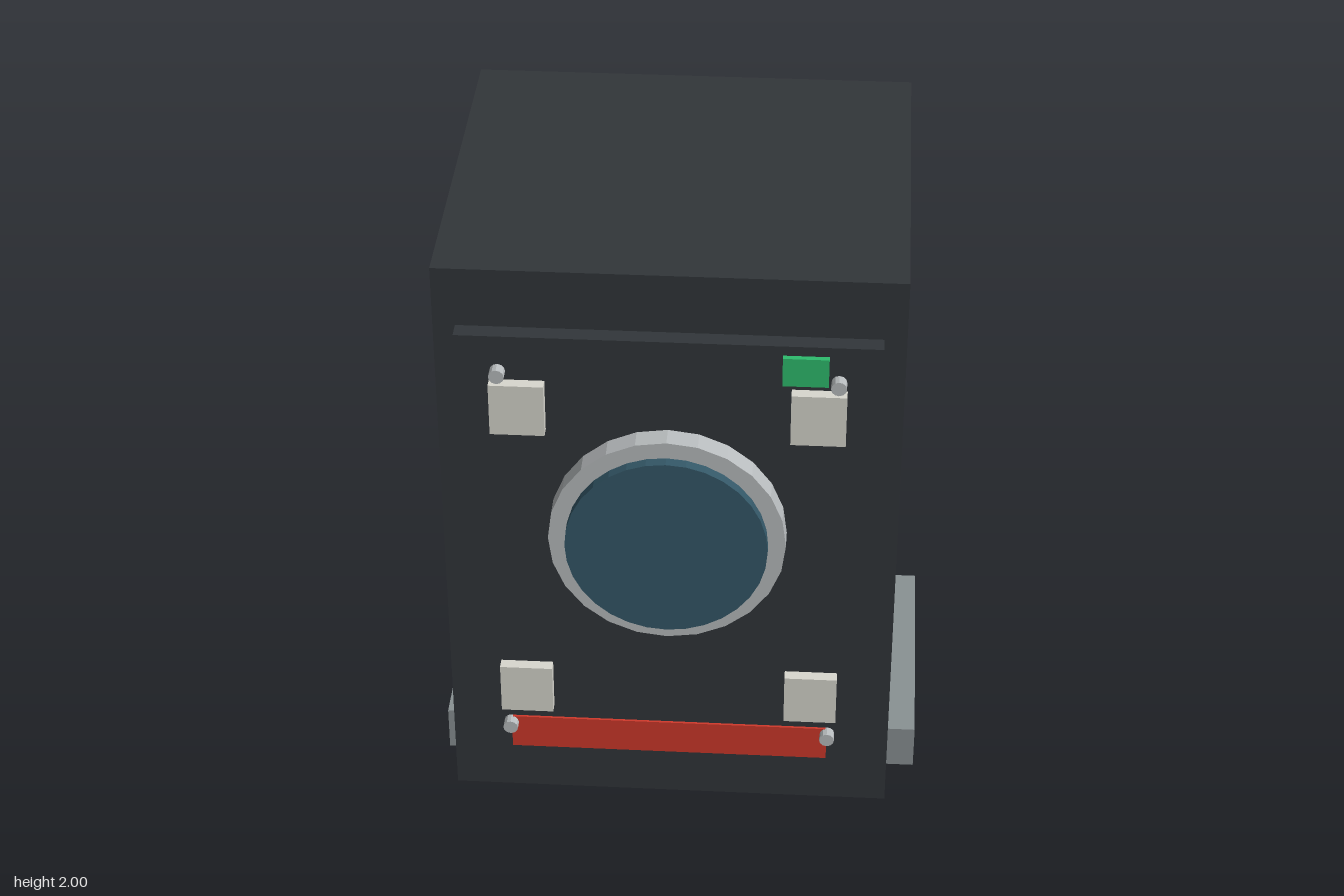
import * as THREE from 'three';

const mat = (color) => new THREE.MeshStandardMaterial({ color, flatShading: true });
const M = {
  cabinet: mat(0x32363a), plate: mat(0x565b5f), knob: mat(0x26282c), base: mat(0x8a9294),
  metal: mat(0xb9bdbf), lens: mat(0x345868), pad: mat(0xd9d8cf), red: mat(0xd0392b), green: mat(0x2ebd6e),
};

export function createModel() {
  const model = new THREE.Group();
  model.name = 'cabinetUnit';

  const add = (name, geometry, material, x, y, z) => {
    const mesh = new THREE.Mesh(geometry, material);
    mesh.name = name;
    mesh.position.set(x, y, z);
    model.add(mesh);
  };
  // Box given by its extents on each axis
  const box = (name, material, [x0, x1], [y0, y1], [z0, z1]) =>
    add(name, new THREE.BoxGeometry(x1 - x0, y1 - y0, z1 - z0), material,
      (x0 + x1) / 2, (y0 + y1) / 2, (z0 + z1) / 2);
  // Disc with its axis along z
  const disc = (name, material, r, x, y, [z0, z1], sides = 24) =>
    add(name, new THREE.CylinderGeometry(r, r, z1 - z0, sides).rotateX(Math.PI / 2), material,
      x, y, (z0 + z1) / 2);

  // Cabinet with front and back panels
  box('cabinet', M.cabinet, [-0.625, 0.625], [0.25, 2], [-0.568, 0.557]);
  box('frontPanel', M.cabinet, [-0.565, 0.565], [0.425, 1.828], [0.55, 0.607]);
  box('backPlate', M.plate, [-0.46, 0.46], [0.638, 1.615], [-0.608, -0.56]);

  // Round window
  disc('windowRing', M.metal, 0.323, 0, 1.23, [0.6, 0.671]);
  disc('windowGlass', M.lens, 0.275, 0, 1.23, [0.61, 0.703], 32);

  // Status light and lower strip
  box('statusLight', M.green, [0.302, 0.424], [1.715, 1.8], [0.6, 0.623]);
  box('lowerStrip', M.red, [-0.45, 0.45], [0.443, 0.55], [0.6, 0.614]);

  // Mirrored parts
  for (const s of [-1, 1]) {
    const span = (a, b) => (s > 0 ? [a, b] : [-b, -a]);
    for (const y of [0.672, 1.618])
      box('cornerPad', M.pad, span(0.327, 0.474), [y - 0.077, y + 0.077], [0.6, 0.64]);
    for (const y of [0.53, 1.722])
      disc('screw', M.metal, 0.021, s * 0.451, y, [0.6, 0.64], 12);
    disc('rearKnob', M.knob, 0.093, s * 0.275, 0.99, [-0.704, -0.6]);
    box('foot', M.metal, span(0.405, 0.597), [0.13, 0.28], [-0.622, -0.174]);
  }

  // Base slab
  box('base', M.base, [-0.718, 0.718], [0, 0.14], [-0.681, 0.106]);
  return model;
}
